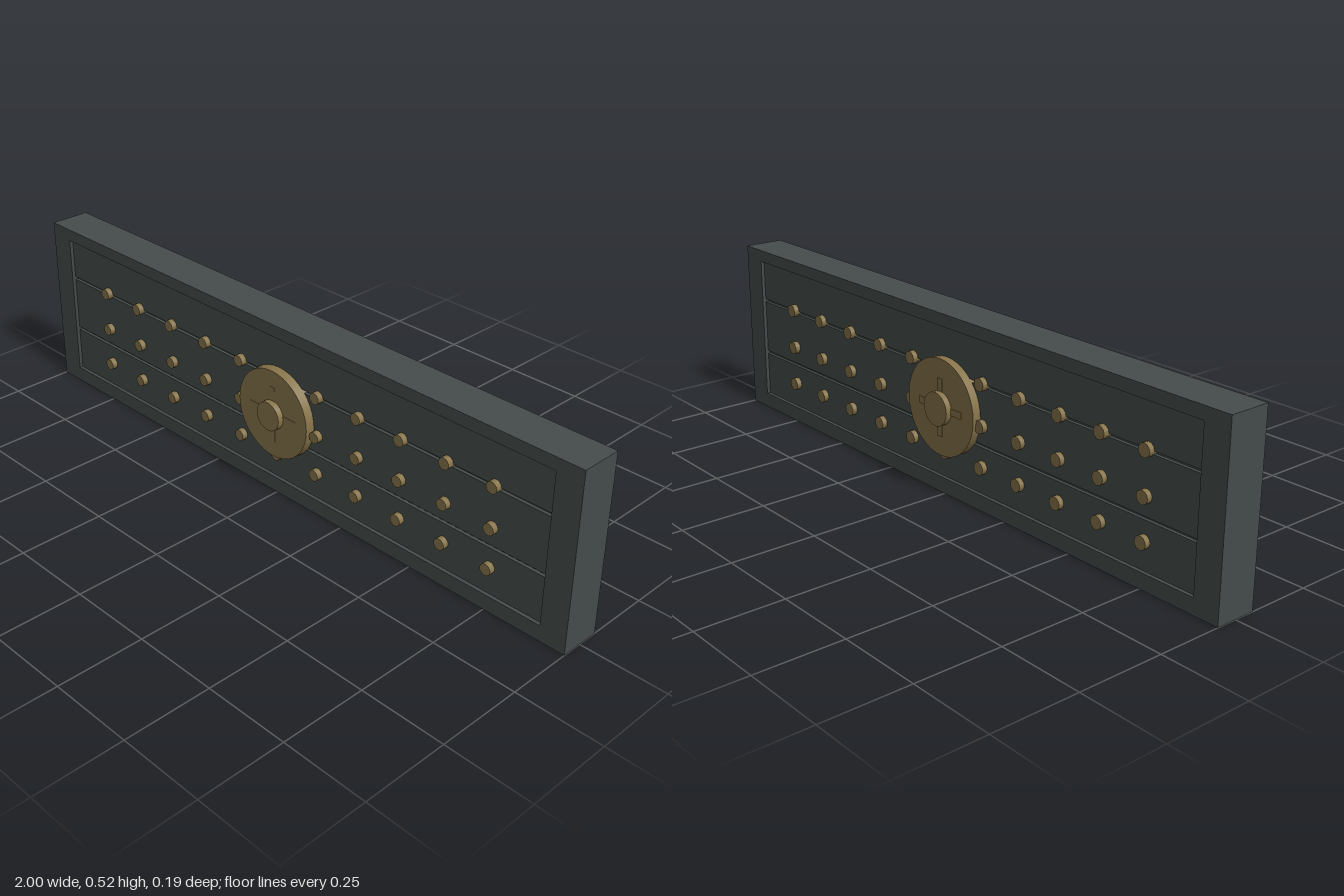
import * as THREE from 'three';

const iron = new THREE.MeshStandardMaterial({ color: 0x454c4b });
iron.name = 'dark slate';
const brass = new THREE.MeshStandardMaterial({ color: 0x87744a });
brass.name = 'old brass';

export function createModel() {
  const model = new THREE.Group();
  const add = (name, geometry, material, x, y, z) => {
    const mesh = new THREE.Mesh(geometry, material);
    mesh.name = name;
    mesh.position.set(x, y, z);
    model.add(mesh);
    return mesh;
  };
  const box = (name, material, x0, x1, y0, y1, halfDepth) =>
    add(name, new THREE.BoxGeometry(x1 - x0, y1 - y0, halfDepth * 2), material,
      (x0 + x1) / 2, (y0 + y1) / 2, 0);
  // Round part running through the board, slightly wider at the back
  const pin = (name, frontR, backR, front, back, sides, x, y) => {
    const g = new THREE.CylinderGeometry(frontR, backR, front - back, sides);
    g.rotateX(Math.PI / 2);
    return add(name, g, brass, x, y, (front + back) / 2);
  };

  // Rectangular outer frame
  const rect = (P, x, y0, y1) => {
    const p = new P();
    p.moveTo(-x, y0);
    p.lineTo(x, y0);
    p.lineTo(x, y1);
    p.lineTo(-x, y1);
    p.closePath();
    return p;
  };
  const outline = rect(THREE.Shape, 1, 0, 0.522);
  outline.holes.push(rect(THREE.Path, 0.922, 0.046, 0.486));
  const frame = new THREE.ExtrudeGeometry(outline, { depth: 0.122, bevelEnabled: false });
  add('frame', frame, iron, 0, 0, -0.061);

  // Recessed core and three planks separated by grooves
  box('core', iron, -0.922, 0.922, 0.046, 0.486, 0.04);
  for (const [y0, y1] of [[0.046, 0.18], [0.189, 0.353], [0.362, 0.486]]) {
    box('plank', iron, -0.922, 0.922, y0, y1, 0.05);
  }

  // Rows of studs
  for (const y of [0.124, 0.243, 0.363]) {
    for (let i = -5; i <= 5; i++) {
      pin('stud', 0.017, 0.019, 0.067, -0.066, 12, i * 0.15, y);
    }
  }

  // Central medallion with hub and low cross
  pin('medallion', 0.133, 0.141, 0.077, -0.076, 40, 0, 0.26);
  pin('hub', 0.043, 0.049, 0.095, -0.094, 32, 0, 0.259);
  box('crossBar', brass, -0.09, 0.09, 0.25, 0.27, 0.0785);
  box('crossPost', brass, -0.01, 0.01, 0.176, 0.344, 0.0785);

  return model;
}
